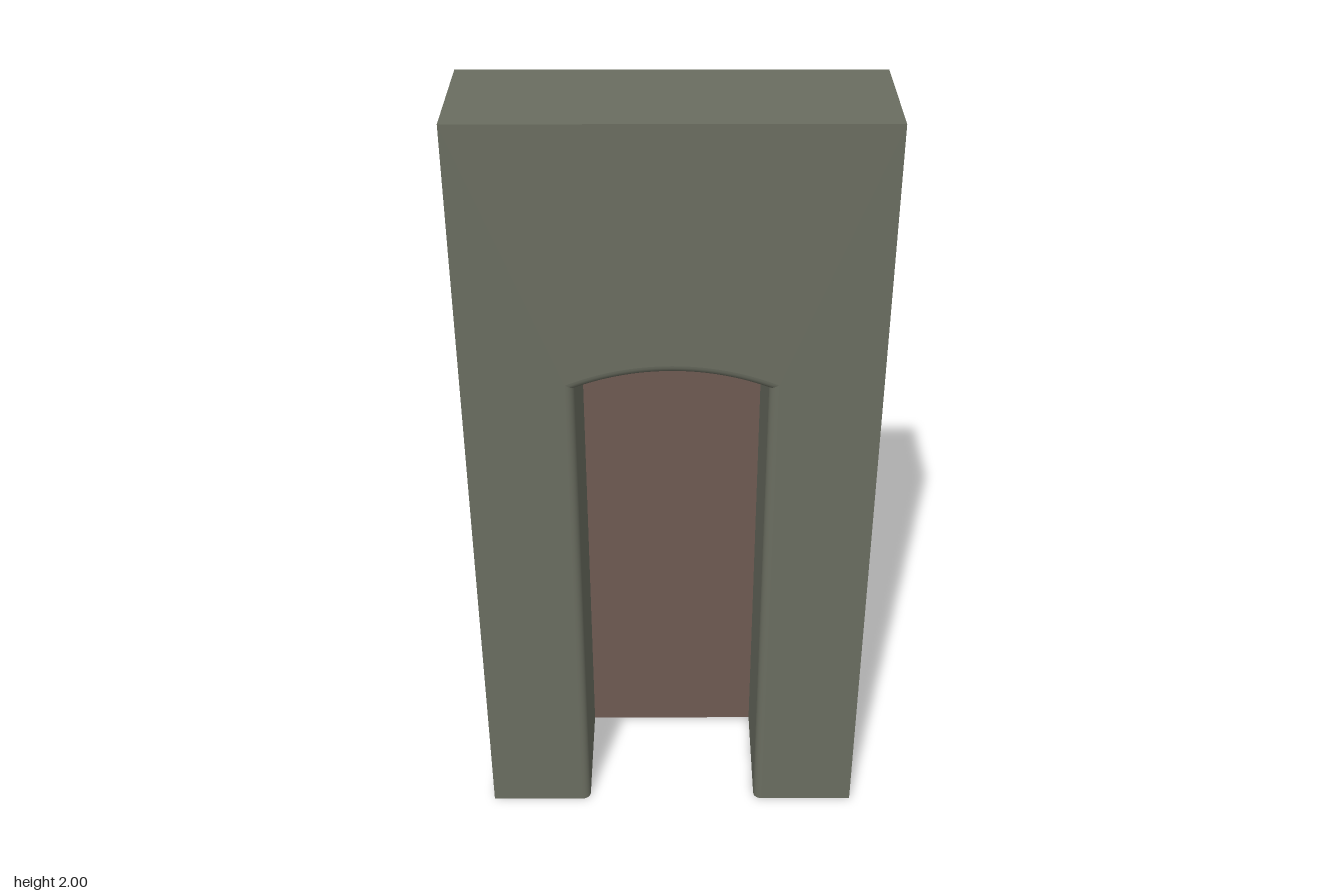
import * as THREE from 'three';

const W = 0.5, H = 2, D = 0.167;          // half width, height, half depth of the wall
const HALF = 0.23, CENTRE = 0.775, RADIUS = 0.61; // opening half width, arch centre and radius
const BEVEL = 0.022;

const stone = new THREE.MeshStandardMaterial({ color: 0x6a6d60, side: THREE.DoubleSide });
const door = new THREE.MeshStandardMaterial({ color: 0x6e5a52, side: THREE.DoubleSide });

// Arch points from left to right, the opening widened by off
function archPoints(off, n = 24) {
  const r = RADIUS + off, a = Math.asin((HALF + off) / r);
  return Array.from({ length: n + 1 }, (_, i) => {
    const t = -a + (2 * a * i) / n;
    return new THREE.Vector2(r * Math.sin(t), CENTRE + r * Math.cos(t));
  });
}

// The opening as three spans: jamb, arch, jamb
function spans(off) {
  const arch = archPoints(off), w = HALF + off;
  return [
    [new THREE.Vector2(-w, 0), arch[0]],
    arch,
    [arch[arch.length - 1], new THREE.Vector2(w, 0)],
  ];
}

// Surface through the rings of one span, front to back
function loft(span, rings) {
  const rows = rings.map(([off, z]) => spans(off)[span].map(p => [p.x, p.y, z]));
  const n = rows[0].length, index = [];
  for (let r = 0; r < rows.length - 1; r++)
    for (let i = 0; i < n - 1; i++) {
      const a = r * n + i, b = a + 1, c = a + n, d = c + 1;
      index.push(a, c, b, b, c, d);
    }
  const g = new THREE.BufferGeometry();
  g.setAttribute('position', new THREE.Float32BufferAttribute(rows.flat(2), 3));
  g.setIndex(index);
  g.computeVertexNormals();
  return g;
}

// Wall face with the arched doorway cut out of its foot
function wallShape(off) {
  return new THREE.Shape([
    new THREE.Vector2(-W, 0), ...spans(off).flatMap((s, i) => (i === 1 ? s.slice(1, -1) : s)),
    new THREE.Vector2(W, 0), new THREE.Vector2(W, H), new THREE.Vector2(-W, H),
  ]);
}

export function createModel() {
  const model = new THREE.Group();
  const add = (name, geometry, material = stone) => {
    const mesh = new THREE.Mesh(geometry, material);
    mesh.name = name;
    model.add(mesh);
    return mesh;
  };

  // Front and back faces
  add('wallFront', new THREE.ShapeGeometry(wallShape(BEVEL)).translate(0, 0, D));
  add('wallBack', new THREE.ShapeGeometry(wallShape(0)).rotateY(Math.PI).translate(0, 0, -D));

  // Ends and top; the underside is open
  for (const s of [-1, 1])
    add(s > 0 ? 'wallEndLeft' : 'wallEndRight',
      new THREE.PlaneGeometry(2 * D, H).rotateY(s * Math.PI / 2).translate(s * W, H / 2, 0));
  add('wallTop', new THREE.PlaneGeometry(2 * W, 2 * D).rotateX(-Math.PI / 2).translate(0, H, 0));

  // Rounded edge and deep reveal around the doorway
  const round = Array.from({ length: 7 }, (_, i) => {
    const t = (i / 6) * Math.PI / 2;
    return [BEVEL * (1 - Math.sin(t)), D - BEVEL * (1 - Math.cos(t))];
  });
  ['rightJamb', 'arch', 'leftJamb'].forEach((name, i) => {
    add(name + 'Edge', loft(i, round));
    add(name + 'Reveal', loft(i, [[0, D - BEVEL], [0, -D]]));
  });

  // Door panel closing the back of the recess
  const panel = new THREE.Shape([
    new THREE.Vector2(-HALF, 0), new THREE.Vector2(HALF, 0), ...archPoints(0).reverse(),
  ]);
  add('doorPanel', new THREE.ShapeGeometry(panel).translate(0, 0, -D), door);

  return model;
}
